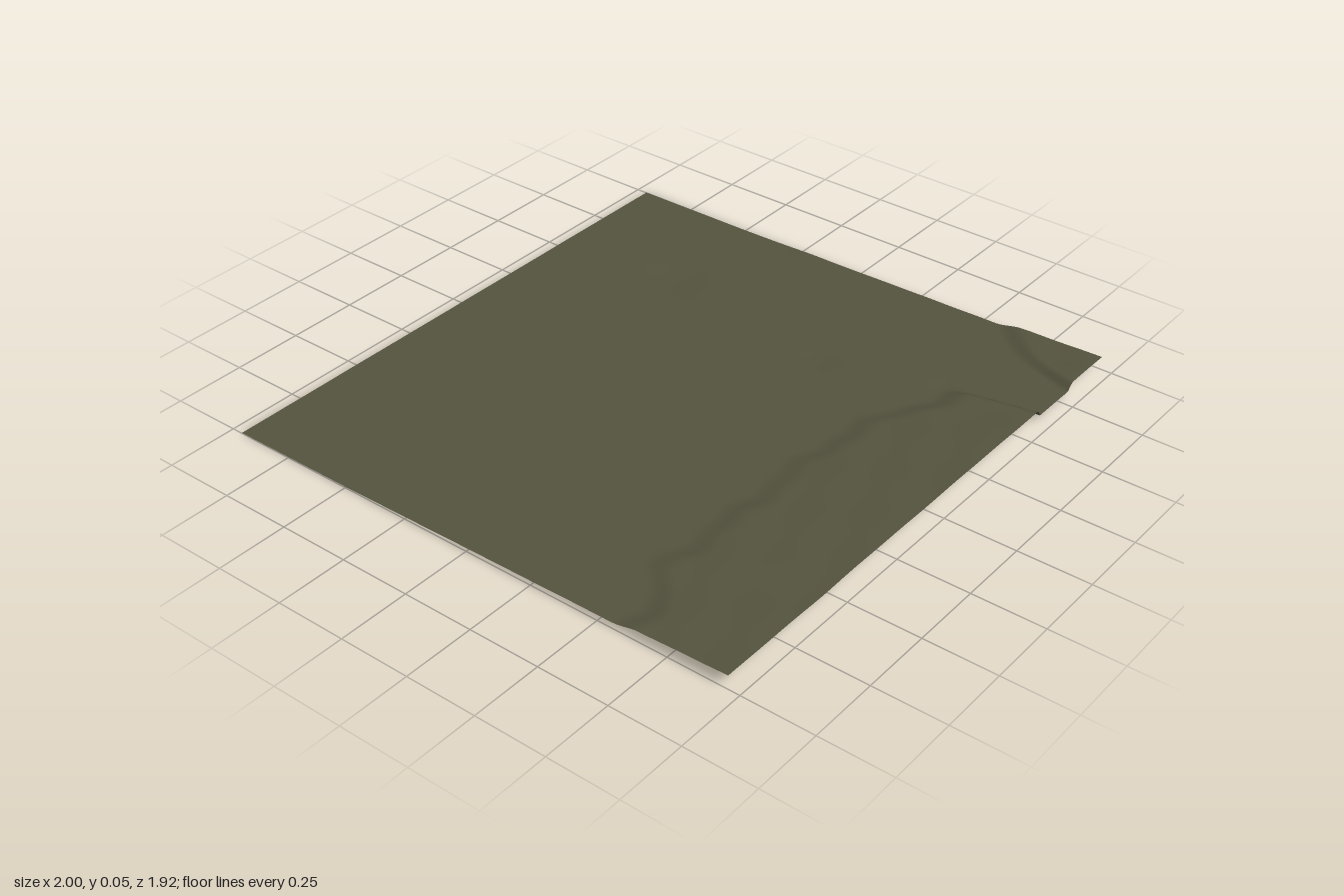
import * as THREE from 'three';

const { lerp, smoothstep } = THREE.MathUtils;

// Linear interpolation through [position, value] pairs
function along(points, t) {
  for (let i = 1; i < points.length; i++) {
    const [a, va] = points[i - 1], [b, vb] = points[i];
    if (t <= b) return lerp(va, vb, Math.max(0, (t - a) / (b - a)));
  }
  return points[points.length - 1][1];
}

// Gentle rise of the plain from back to front
const plain = [[-0.96, 0.006], [-0.5, 0.008], [0, 0.017], [0.46, 0.024], [0.96, 0.028]];

// Foot of the escarpment (x, z); it runs off the front edge where the gorge opens
const foot = [[-1, 0.58], [-0.82, 0.57], [-0.74, 0.48], [-0.4, 0.5], [0, 0.5], [0.2, 0.53],
  [0.34, 0.57], [0.46, 0.64], [0.56, 0.68], [0.62, 1.02], [0.76, 1.02], [0.84, 0.8], [0.92, 0.66], [1, 0.58]];

// Extra height of the plateau above the plain
const plateau = [[0.46, 0.012], [0.56, 0.014], [0.96, 0.024]];

// Soft bump used for small hollows and knolls: x, z, radius, height
const bumps = [[0.36, -0.6, 0.14, 0.002], [0.58, -0.5, 0.16, -0.004], [0.55, -0.84, 0.12, 0.001],
  [0.46, 0.22, 0.1, -0.003], [0.97, -0.2, 0.1, 0.002], [0.2, 0.1, 0.2, 0.002],
  [0.56, 0.64, 0.07, -0.004], [0.5, 0.84, 0.07, -0.003], [0.9, 0.86, 0.08, -0.003], [-0.55, 0.9, 0.15, -0.003]];

function height(x, z) {
  const wobble = 0.012 * Math.sin(x * 19) + 0.008 * Math.sin(x * 41 + 1);
  const rise = smoothstep(z - along(foot, x) - wobble, -0.02, 0.08);
  let y = along(plain, z) + along(plateau, z) * rise;
  for (const [bx, bz, r, h] of bumps) {
    y += h * Math.exp(-((x - bx) ** 2 + (z - bz) ** 2) / (r * r) * 2);
  }
  // Fine undulation, stronger toward the rugged front
  const rough = lerp(0.0002, 0.001, smoothstep(z, 0, 0.8));
  return y + rough * Math.sin(x * 17 + z * 9) * Math.cos(z * 23 - x * 6);
}

export function createModel() {
  const group = new THREE.Group();
  group.name = 'terrain';
  const olive = new THREE.MeshStandardMaterial({ color: 0x55543f, side: THREE.DoubleSide });
  olive.name = 'olive ground';

  // Open sheet of ground shaped by the height rule
  const geometry = new THREE.PlaneGeometry(2, 1.92, 160, 154).rotateX(-Math.PI / 2);
  const pos = geometry.attributes.position;
  for (let i = 0; i < pos.count; i++) pos.setY(i, height(pos.getX(i), pos.getZ(i)));
  geometry.computeVertexNormals();

  const ground = new THREE.Mesh(geometry, olive);
  ground.name = 'groundSheet';
  group.add(ground);
  return group;
}
